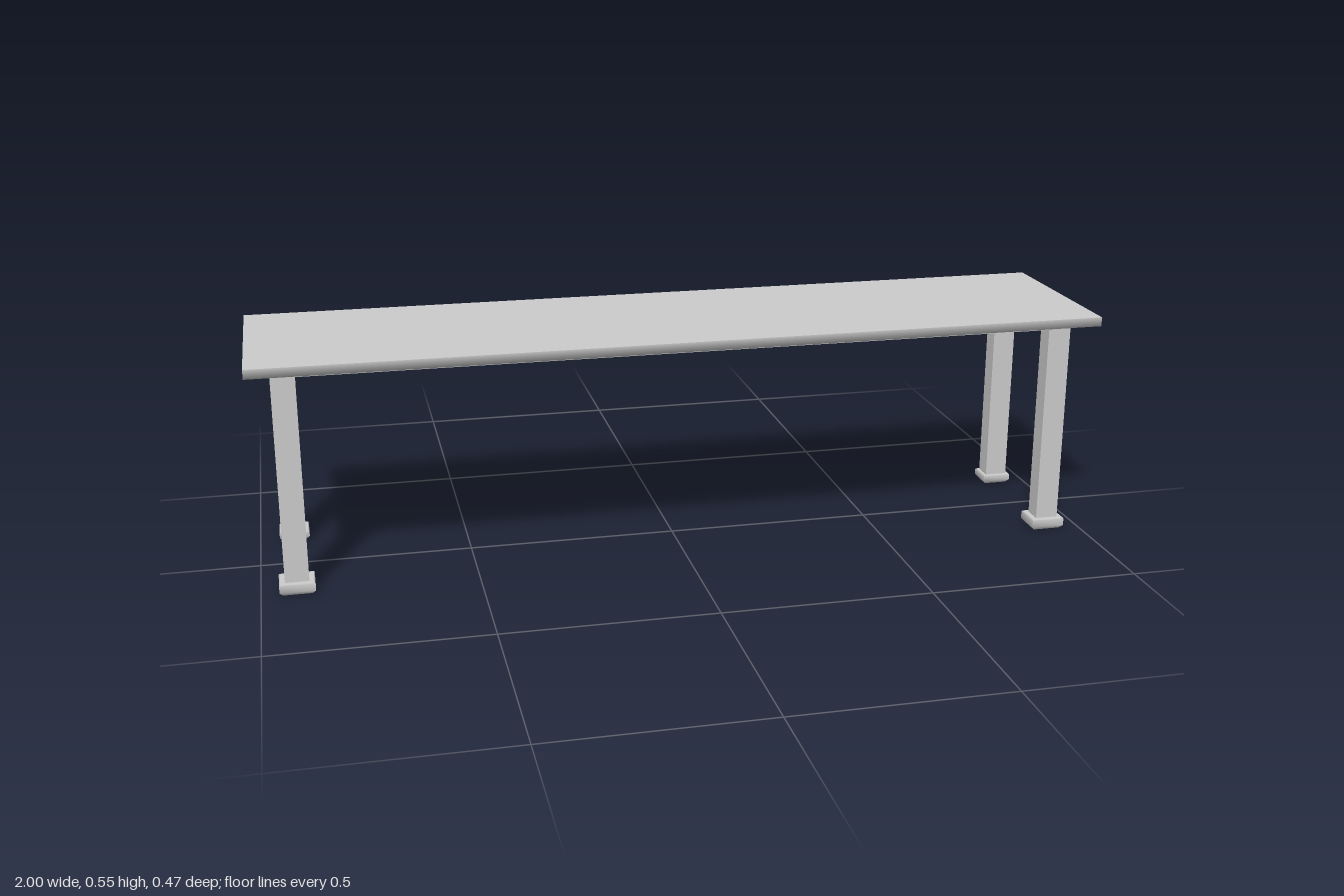
import * as THREE from 'three';

const material = new THREE.MeshStandardMaterial({ color: 0xcccccc });
const CORNERS = [[1, 1], [1, -1], [-1, -1], [-1, 1]];

// Rectangular loft through rings [halfX, halfZ, y], listed from the top down.
// Shading is smooth along the profile and sharp at the four corners.
function loft(rings, { top = false, bottom = false } = {}) {
  const pos = [], index = [];
  const add = ([hx, hz, y], [sx, sz]) => pos.push(hx * sx, y, hz * sz) / 3 - 1;
  for (let s = 0; s < 4; s++) {
    const base = pos.length / 3;
    for (const r of rings) {
      add(r, CORNERS[s]);
      add(r, CORNERS[(s + 1) % 4]);
    }
    for (let i = 0; i < rings.length - 1; i++) {
      const a = base + 2 * i;
      index.push(a, a + 2, a + 3, a, a + 3, a + 1);
    }
  }
  const cap = (ring, up) => {
    const [a, b, c, d] = CORNERS.map((k) => add(ring, k));
    index.push(...(up ? [a, b, c, a, c, d] : [a, c, b, a, d, c]));
  };
  if (top) cap(rings[0], true);
  if (bottom) cap(rings[rings.length - 1], false);
  const geometry = new THREE.BufferGeometry();
  geometry.setAttribute('position', new THREE.Float32BufferAttribute(pos, 3));
  geometry.setIndex(index);
  geometry.computeVertexNormals();
  return geometry;
}

export function createModel() {
  const model = new THREE.Group();
  model.name = 'bench';
  const add = (name, geometry, x = 0, y = 0, z = 0) => {
    const mesh = new THREE.Mesh(geometry, material);
    mesh.name = name;
    mesh.position.set(x, y, z);
    model.add(mesh);
  };

  const topY = 0.553, rimY = 0.531, frameY = 0.515;
  const frameX = 0.945, frameZ = 0.185, legW = 0.046, legD = 0.055;
  const innerX = frameX - legD, innerZ = frameZ - legW;

  // Seat slab with its overhanging rim and the outside of the frame below it
  add('seat', loft([
    [1, 0.235, topY], [1, 0.235, rimY], [frameX, frameZ, rimY], [frameX, frameZ, frameY],
  ], { top: true }));

  // Underside of the frame, its inner walls and the recessed panel
  add('frameUnderside', loft([[frameX, frameZ, frameY], [innerX, innerZ, frameY]]));
  add('frameInside', loft([[innerX, innerZ, frameY], [innerX, innerZ, rimY]]));
  add('seatUnderside', loft([[innerX, innerZ, rimY]], { bottom: true }));

  // Legs with bevelled feet; the front feet are a little larger
  const legX = frameX - legD / 2, legZ = frameZ - legW / 2;
  const legBottom = 0.02, legHeight = rimY - legBottom;
  for (const [sx, sz] of CORNERS) {
    const side = (sz > 0 ? 'front' : 'back') + (sx > 0 ? 'Left' : 'Right');
    add(side + 'Leg', new THREE.BoxGeometry(legD, legHeight, legW),
      sx * legX, legBottom + legHeight / 2, sz * legZ);

    const [hx, hz, y0] = sz > 0 ? [0.041, 0.035, 0] : [0.036, 0.03, 0.004];
    add(side + 'Foot', loft([
      [hx - 0.002, hz - 0.002, 0.029], [hx, hz, 0.026],
      [hx, hz, y0 + 0.009], [hx - 0.008, hz - 0.008, y0],
    ], { top: true, bottom: true }), sx * legX, 0, sz * legZ);
  }

  // Single crossbar between the legs at one end
  add('crossbar', new THREE.BoxGeometry(legD, 0.048, 2 * innerZ), -legX, 0.414, 0);

  return model;
}
